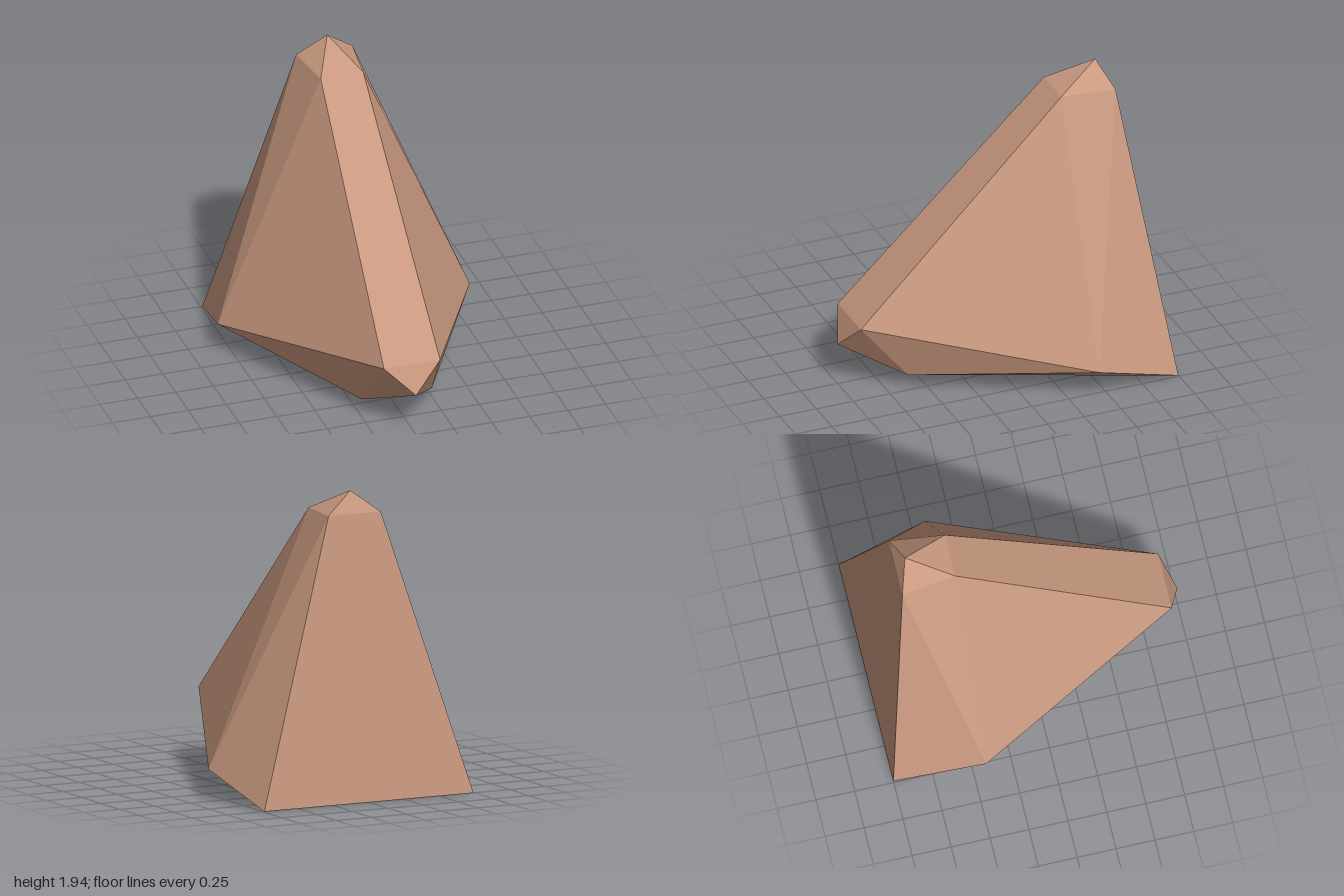
import * as THREE from 'three';

// Corner points on the +x side; those with x = 0 lie on the centre line
const P = {
  peak: [0, 1.94, -0.75],
  browFront: [0.14, 1.8, -0.46],
  browBack: [0.185, 1.8, -0.81],
  tipTop: [0.185, 0.46, 0.92],
  tip: [0, 0.28, 1],
  under: [0.23, 0.095, 0.62],
  wing: [0.83, 0.19, -0.425],
  base: [0.74, 0, -1],
};
const INSIDE = new THREE.Vector3(0, 0.7, -0.3);
const corner = (name, side) => new THREE.Vector3(P[name][0] * side, P[name][1], P[name][2]);

// Flat-faced geometry from polygons, each turned to face outwards
function facets(polygons) {
  const points = [];
  for (const poly of polygons) {
    for (let i = 1; i < poly.length - 1; i++) {
      const tri = [poly[0], poly[i], poly[i + 1]];
      const normal = new THREE.Triangle(...tri).getNormal(new THREE.Vector3());
      if (normal.dot(tri[0].clone().sub(INSIDE)) < 0) tri.reverse();
      points.push(...tri);
    }
  }
  const geometry = new THREE.BufferGeometry().setFromPoints(points);
  geometry.computeVertexNormals();
  return geometry;
}

// Faces that span the centre line: mirrored pair, or pair plus a centre point
const span = (a, b) => [corner(a, 1), corner(a, -1),
  ...(P[b][0] ? [corner(b, -1), corner(b, 1)] : [corner(b, 1)])];
// Faces repeated on both sides
const pair = (...names) => [1, -1].map((s) => names.map((n) => corner(n, s)));

export function createModel() {
  const group = new THREE.Group();
  const skin = new THREE.MeshStandardMaterial({ color: 0xc8987f, flatShading: true });
  skin.name = 'skin';

  const add = (name, geometry) => {
    const mesh = new THREE.Mesh(geometry, skin);
    mesh.name = name;
    group.add(mesh);
  };

  add('browCap', facets([
    span('browFront', 'peak'), span('browBack', 'peak'),
    ...pair('peak', 'browFront', 'browBack'),
  ]));
  add('bridge', facets([span('browFront', 'tipTop')]));
  add('sides', facets([
    ...pair('browFront', 'tipTop', 'wing'),
    ...pair('browFront', 'wing', 'browBack'),
    ...pair('browBack', 'wing', 'base'),
  ]));
  add('back', facets([span('browBack', 'base')]));
  add('tip', facets([
    span('tipTop', 'tip'), span('under', 'tip'),
    ...pair('tipTop', 'tip', 'under'),
    ...pair('tipTop', 'under', 'wing'),
  ]));
  add('underside', facets([span('under', 'base'), ...pair('wing', 'under', 'base')]));

  // Diamond nostrils just below the sloping underside
  for (const s of [1, -1]) {
    const diamond = [[0, 0.15], [0.07, 0], [0, -0.15], [-0.07, 0]]
      .map(([x, z]) => new THREE.Vector3(s * 0.17 + x, 0.038 + z * 0.06, 0.18 + z));
    add(s > 0 ? 'leftNostril' : 'rightNostril', facets([diamond]));
  }
  return group;
}
